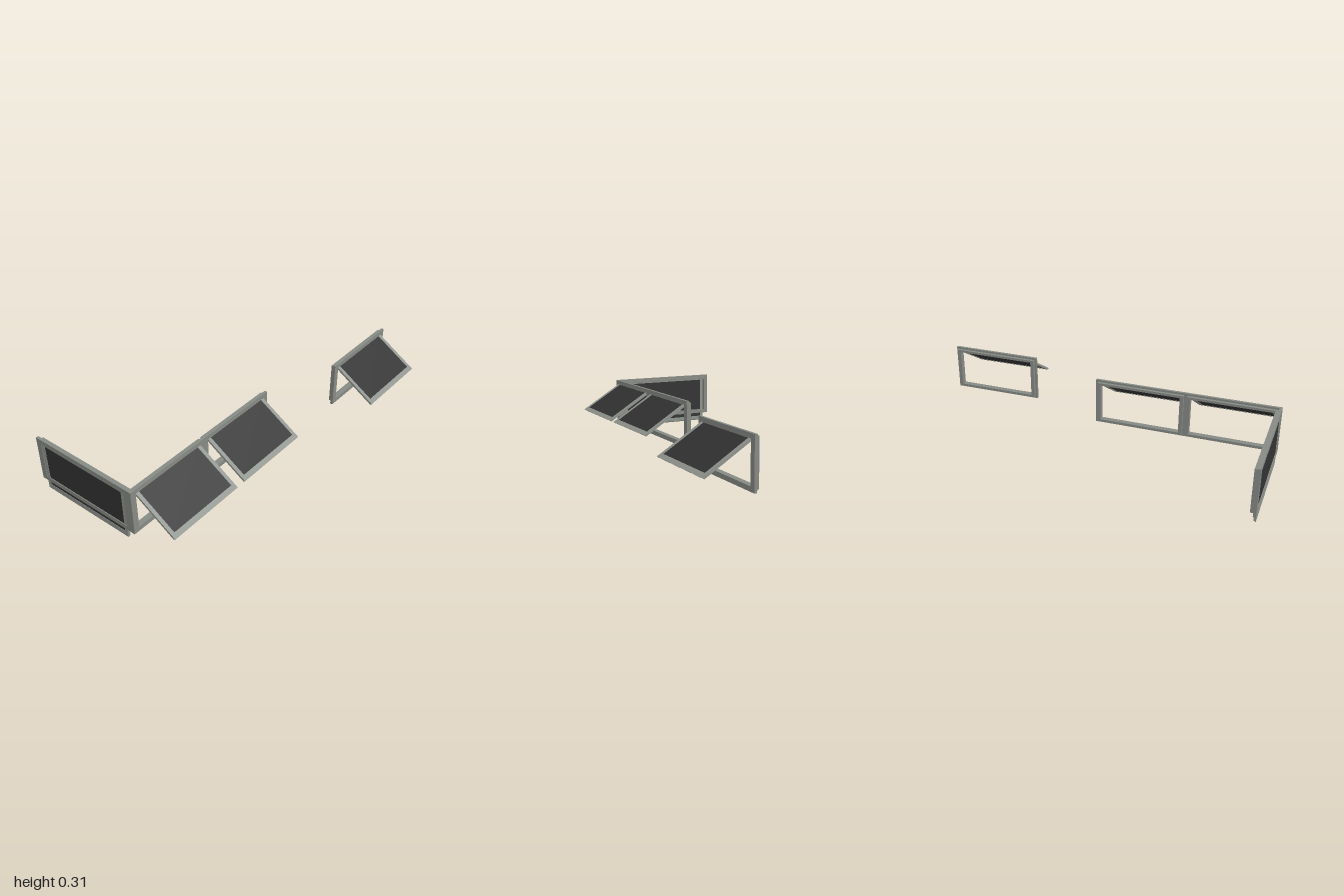
import * as THREE from 'three';

const mat = (name, color) => {
  const m = new THREE.MeshStandardMaterial({ color });
  m.name = name;
  return m;
};

export function createModel() {
  const root = new THREE.Group();
  root.name = 'awningWindows';
  const frameGrey = mat('frame grey', 0x868a84);
  const sashGrey = mat('sash grey', 0x90948e);
  const glassDark = mat('dark glass', 0x333333);

  const BOTTOM = 0.05, TOP = 0.312;        // outer frame heights
  const OPEN_LOW = 0.075, OPEN_TOP = 0.287; // opening heights
  const STEP = 0.0115;                      // inset of the rear plate

  // Flat rectangular plate with rectangular openings, from z0 to z0 + depth
  function plate(name, material, x0, x1, y0, y1, holes, z0, depth) {
    const rect = (path, a, b, c, d) =>
      path.moveTo(a, c).lineTo(b, c).lineTo(b, d).lineTo(a, d).closePath();
    const shape = rect(new THREE.Shape(), x0, x1, y0, y1);
    for (const [a, b, c, d] of holes) shape.holes.push(rect(new THREE.Path(), a, b, c, d));
    const geo = new THREE.ExtrudeGeometry(shape, { depth, bevelEnabled: false });
    geo.translate(0, 0, z0);
    const mesh = new THREE.Mesh(geo, material);
    mesh.name = name;
    return mesh;
  }

  // Top-hung sash; its origin is the hinge line and it hangs down
  function sash(x0, x1, angle) {
    const group = new THREE.Group();
    group.name = 'sash';
    const len = 0.286, bar = 0.021, t = 0.012;
    const hole = [x0 + bar, x1 - bar, -len + 0.029, -0.006];
    const border = plate('sashFrame', sashGrey, x0, x1, -len, 0, [hole], -t / 2, t);
    // slanted drip edge along the bottom
    const p = border.geometry.attributes.position;
    for (let i = 0; i < p.count; i++)
      if (p.getY(i) < -len + 0.001 && p.getZ(i) < 0) p.setY(i, -len + 0.006);
    border.geometry.computeVertexNormals();
    const pane = new THREE.Mesh(
      new THREE.BoxGeometry(hole[1] - hole[0], hole[3] - hole[2], 0.008), glassDark);
    pane.name = 'pane';
    pane.position.set((hole[0] + hole[1]) / 2, (hole[2] + hole[3]) / 2, 0);
    group.add(border, pane);
    group.position.set(0, 0.286, -0.008);
    group.rotation.x = -angle;
    return group;
  }

  // Window unit facing +z with its front at z = 0; bays are [left, right] openings
  function windowUnit(name, x0, x1, bays, angle) {
    const unit = new THREE.Group();
    unit.name = name;
    const holes = bays.map(([a, b]) => [a, b, OPEN_LOW, OPEN_TOP]);
    unit.add(plate('frontFrame', frameGrey, x0, x1, BOTTOM, TOP, holes, -0.015, 0.015));
    bays.forEach(([a, b], i) => {
      const rim = 0.02;
      unit.add(plate('rearFrame', frameGrey, a - rim, b + rim, BOTTOM + STEP, TOP - STEP,
        [holes[i]], -0.032, 0.017));
      unit.add(sash(a, b, angle));
    });
    root.add(unit);
    return unit;
  }

  const OPEN = THREE.MathUtils.degToRad(58);

  const single = windowUnit('singleWindow', 0.47, 1, [[0.502, 0.967]], OPEN);
  single.position.z = 0.29;

  const double = windowUnit('doubleWindow', -1, 0.035, [[-0.967, -0.512], [-0.454, 0.002]], OPEN);
  double.position.z = 0.137;

  // Closed window on the right side, meeting the double window at the corner
  const side = windowUnit('sideWindow', -0.525, 0.122, [[-0.491, 0.089]], 0);
  side.rotation.y = -Math.PI / 2;
  side.position.x = -1;

  return root;
}
